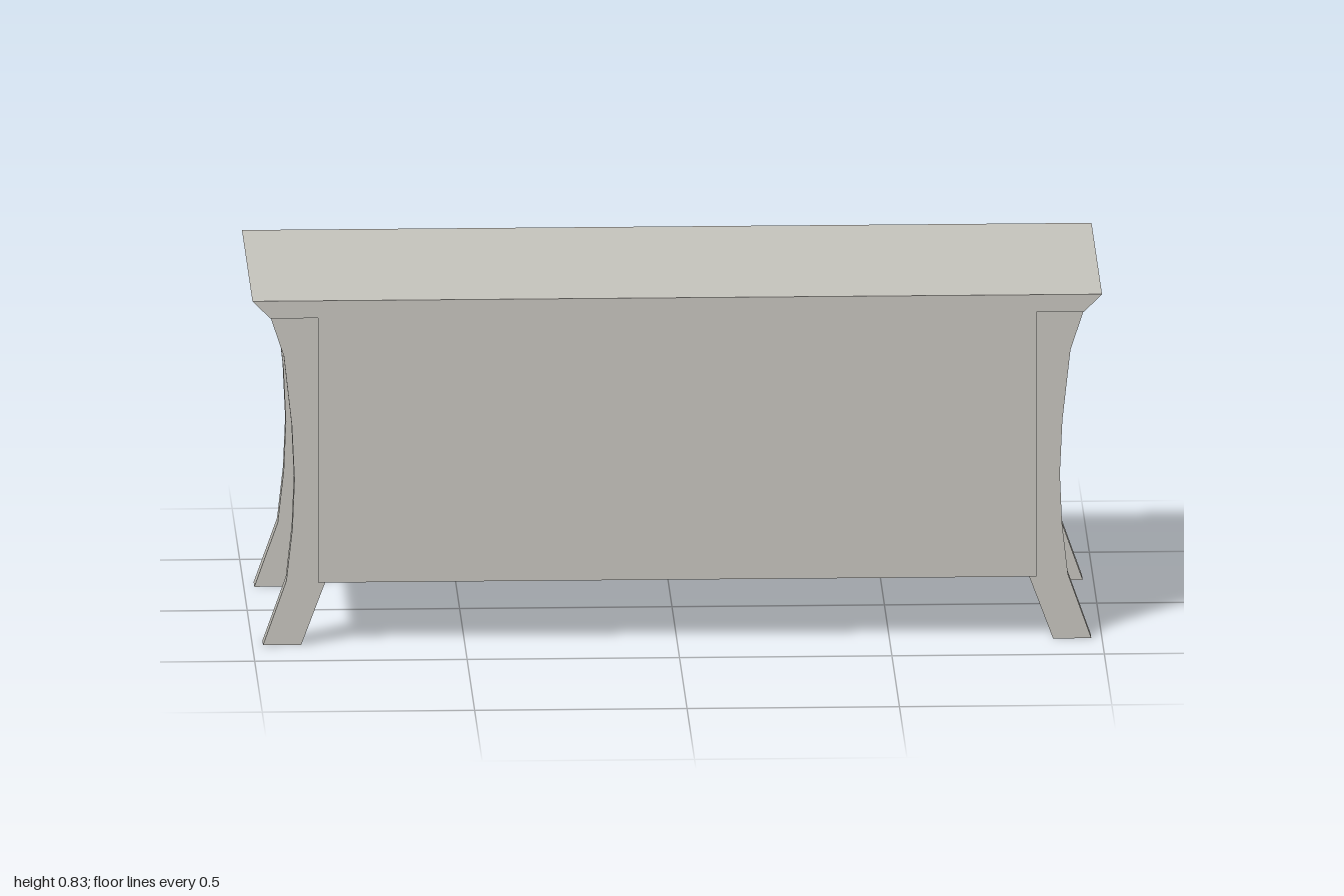
import * as THREE from 'three';
import { toCreasedNormals } from 'three/addons/utils/BufferGeometryUtils.js';

export function createModel() {
  const group = new THREE.Group();
  const wood = new THREE.MeshStandardMaterial({ color: 0xc5c3bc });
  wood.name = 'pale painted wood';

  const add = (name, geometry) => {
    const mesh = new THREE.Mesh(geometry, wood);
    mesh.name = name;
    group.add(mesh);
    return mesh;
  };
  // Box given by its limits on each axis
  const box = (name, x0, x1, y0, y1, z0, z1) =>
    add(name, new THREE.BoxGeometry(x1 - x0, y1 - y0, z1 - z0))
      .position.set((x0 + x1) / 2, (y0 + y1) / 2, (z0 + z1) / 2);
  // Outline in x/y, extruded from z0 to z1
  const slab = (name, shape, z0, z1) => {
    const g = new THREE.ExtrudeGeometry(shape, { depth: z1 - z0, bevelEnabled: false });
    g.translate(0, 0, z0);
    return add(name, toCreasedNormals(g, 0.4));
  };
  const outline = (points, side) =>
    new THREE.Shape(points.map(([x, y]) => new THREE.Vector2(x * side, y)));
  const rect = (x0, x1, y0, y1) => [[x0, y0], [x1, y0], [x1, y1], [x0, y1]];

  const bottom = 0.152, under = 0.793, wall = 0.846;
  const recess = -0.226, face = -0.279, inner = 0.262;

  // Table top: lower edge drawn in on both sides and along the door side
  const topGeo = new THREE.BoxGeometry(2, 0.042, 0.7);
  const p = topGeo.attributes.position;
  for (let i = 0; i < p.count; i++) {
    if (p.getY(i) > 0) continue;
    p.setX(i, p.getX(i) * 0.958);
    if (p.getZ(i) < 0) p.setZ(i, -0.307);
  }
  topGeo.computeVertexNormals();
  add('tableTop', topGeo).position.y = 0.814;

  // Cabinet shell
  box('backPanel', -wall, wall, bottom, under, 0.325, 0.35);
  box('cabinetFloor', -wall + 0.018, wall - 0.018, bottom, 0.2, recess, 0.325);

  // Bowed legs, doors and side walls, mirrored
  const leg = [
    [0.885, 0], [0.975, 0], [0.92, 0.155], [0.906, 0.28], [0.901, 0.4],
    [0.907, 0.53], [0.926, 0.7], [0.957, under], [0.827, under], [0.827, 0.155],
  ];
  for (const s of [1, -1]) {
    const side = s > 0 ? 'left' : 'right';
    const span = (name, a, b, ...rest) =>
      box(side + name, Math.min(a * s, b * s), Math.max(a * s, b * s), ...rest);

    slab(side + 'PanelLeg', outline(leg, s), 0.3, 0.343);
    slab(side + 'DoorLeg', outline(leg, s), -0.277, -0.23);
    span('SideWall', 0.815, wall, bottom, under, -0.24, 0.325);
    span('Partition', inner, inner + 0.03, 0.2, under, recess, 0.325);
    span('CompartmentShelf', inner + 0.03, 0.815, 0.455, 0.5, -0.22, 0.325);

    // Open-framed door with a slim inner lip
    const door = outline(rect(inner, 0.829, 0.155, under), s);
    door.holes.push(outline(rect(0.335, 0.757, 0.222, 0.715), s));
    slab(side + 'DoorFrame', door, face, recess);
    const lip = outline(rect(0.335, 0.757, 0.222, 0.715), s);
    lip.holes.push(outline(rect(0.345, 0.747, 0.232, 0.705), s));
    slab(side + 'DoorLip', lip, -0.25, recess);
  }

  // Middle bay: top rail, shelf, drawer and plinth
  box('topRail', -inner, inner, 0.765, under, recess, -0.2);
  box('middleShelf', -inner, inner, 0.585, 0.63, recess, 0.325);
  box('drawerShelf', -inner, inner, 0.36, 0.41, recess, 0.325);
  box('drawerFront', -inner, inner, 0.2, 0.36, recess, -0.19);
  box('plinth', -inner, inner, bottom, 0.205, -0.245, recess);

  // Mushroom knobs
  const profile = [
    [0.012, 0], [0.012, 0.031], [0.026, 0.031], [0.028, 0.034],
    [0.025, 0.046], [0.019, 0.051], [0.01, 0.054], [0, 0.055],
  ].map(([r, h]) => new THREE.Vector2(r, h));
  const knobGeo = toCreasedNormals(new THREE.LatheGeometry(profile, 24), 0.7);
  knobGeo.rotateX(-Math.PI / 2);
  const knobs = [
    ['leftDoorKnob', 0.297, 0.495, face],
    ['rightDoorKnob', -0.297, 0.495, face],
    ['drawerKnob', 0, 0.285, recess],
  ];
  for (const [name, x, y, z] of knobs) add(name, knobGeo).position.set(x, y, z);

  return group;
}
